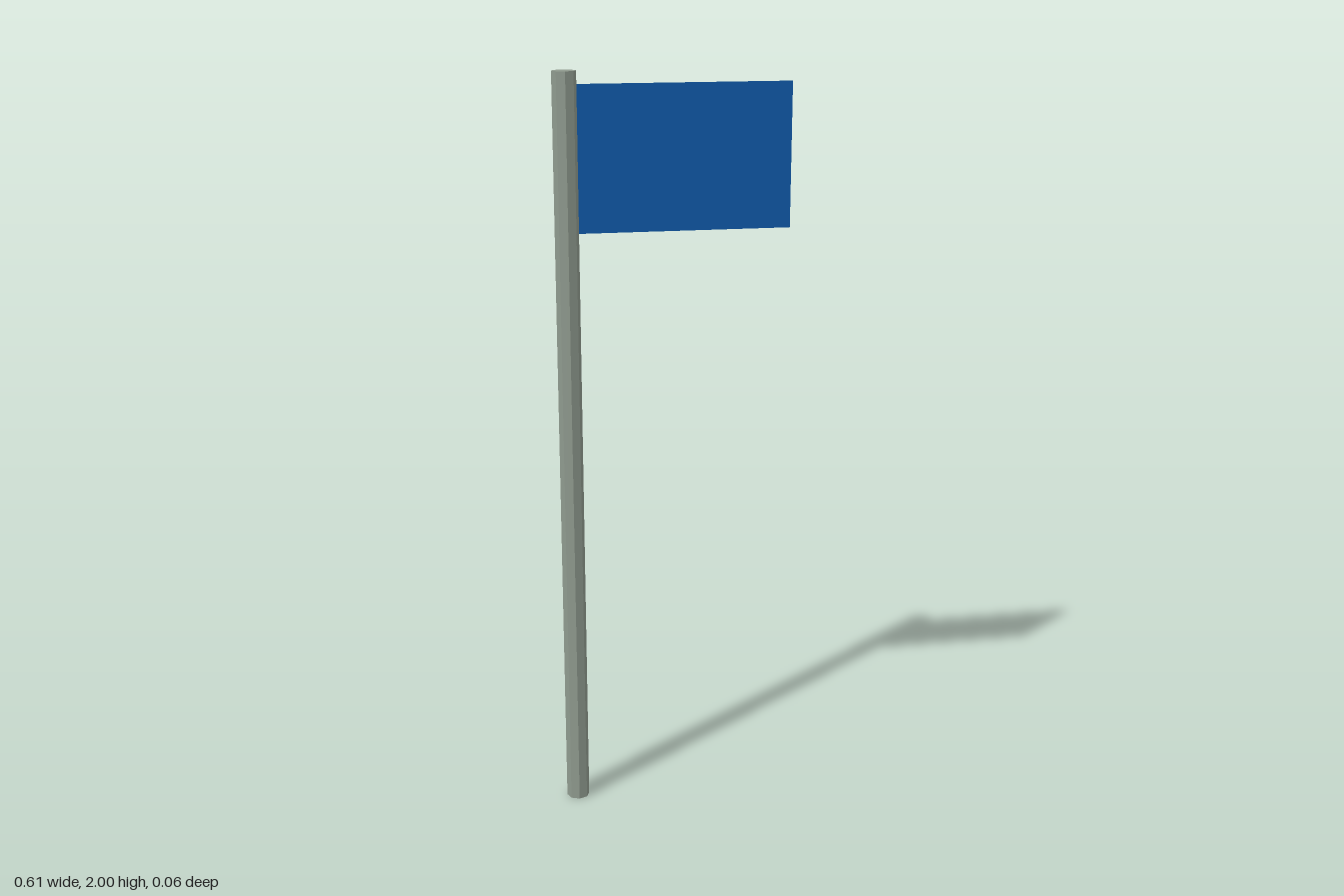
import * as THREE from 'three';

export function createModel() {
  const group = new THREE.Group();
  const poleX = -0.275, radius = 0.031;

  // Eight-sided pole
  const pole = new THREE.Mesh(
    new THREE.CylinderGeometry(radius, radius, 2, 8),
    new THREE.MeshStandardMaterial({ color: 0x8f9a8e, flatShading: true })
  );
  pole.name = 'pole';
  pole.position.set(poleX, 1, 0);
  group.add(pole);

  // Thin flag, its inner edge tucked just inside the pole
  const left = -0.25, right = 0.306, bottom = 1.595, top = 1.967;
  const flag = new THREE.Mesh(
    new THREE.PlaneGeometry(right - left, top - bottom),
    new THREE.MeshStandardMaterial({ color: 0x0f58a6, side: THREE.DoubleSide })
  );
  flag.name = 'flag';
  flag.position.set((left + right) / 2, (bottom + top) / 2, 0);
  group.add(flag);

  return group;
}
